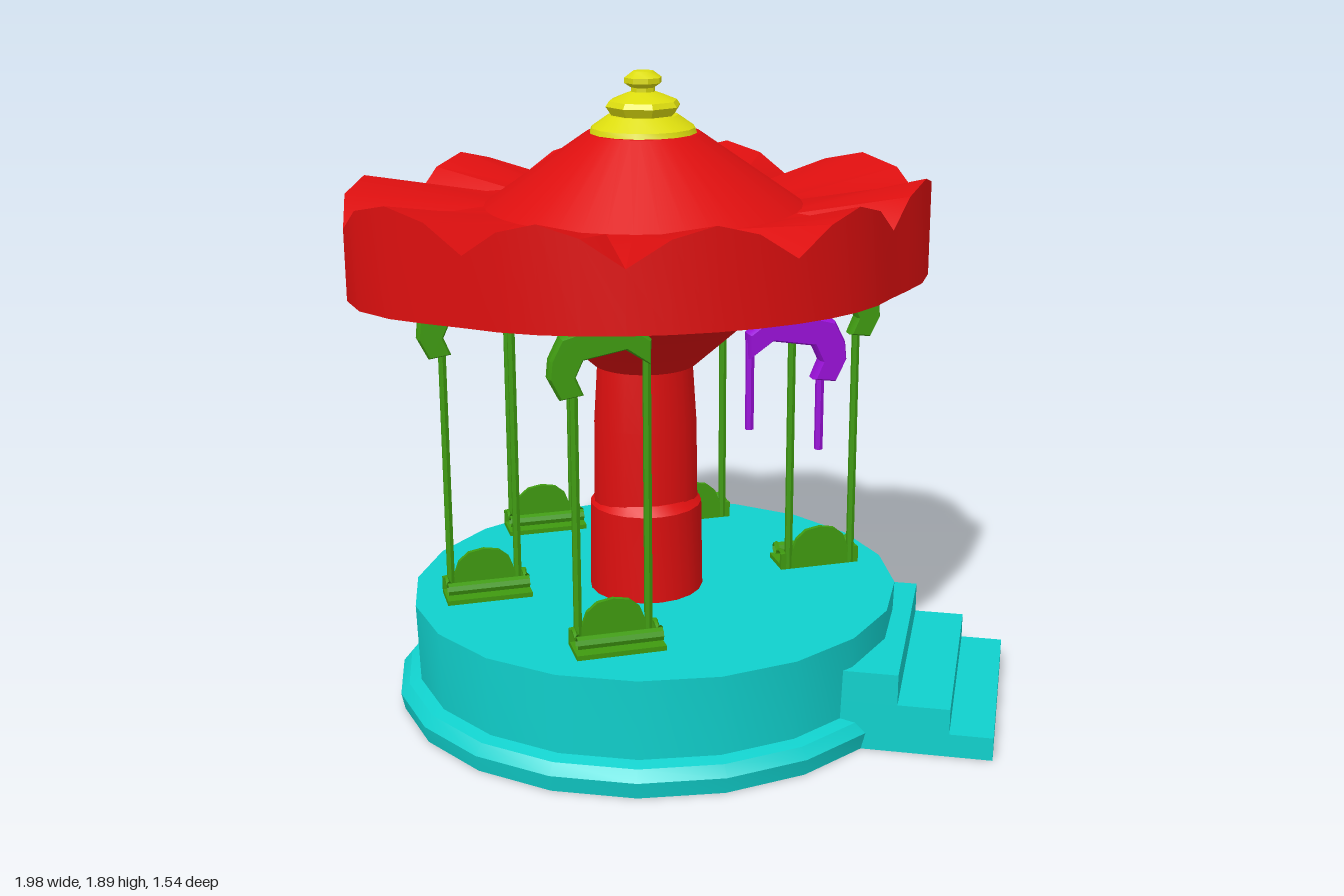
import * as THREE from 'three';
import { toCreasedNormals } from 'three/addons/utils/BufferGeometryUtils.js';

const paint = (color) => new THREE.MeshStandardMaterial({ color, side: THREE.DoubleSide });
const red = paint(0xdd0f0f), teal = paint(0x10d0cc), green = paint(0x3f9a10);
const purple = paint(0x9a10d8), yellow = paint(0xdcdc0e);

function part(parent, name, geometry, material, x = 0, y = 0, z = 0) {
  const mesh = new THREE.Mesh(toCreasedNormals(geometry, 0.5), material);
  mesh.name = name;
  mesh.position.set(x, y, z);
  parent.add(mesh);
  return mesh;
}

const points = (list) => list.map(([a, b]) => new THREE.Vector2(a, b));
const lathe = (list, sides) => new THREE.LatheGeometry(points(list), sides);

// Canopy: a lathe whose rim is widened towards the sides and cut into ten scallops
function canopyGeometry() {
  const RIM = 0.74;
  const geo = lathe([
    [0.12, 1.03], [0.155, 1.035], [0.3, 1.165], [0.45, 1.25], [RIM, 1.28],
    [RIM, 1.48], [0.46, 1.51], [0.165, 1.715], [0, 1.715],
  ], 40);
  const pos = geo.attributes.position;
  for (let i = 0; i < pos.count; i++) {
    const x = pos.getX(i), z = pos.getZ(i);
    if (Math.hypot(x, z) < RIM - 0.01) continue;
    const a = Math.atan2(z, x);
    const off = Math.asin(Math.min(1, Math.abs(Math.sin(a))));
    const r = RIM + 0.12 * (1 - THREE.MathUtils.smoothstep(off, 0.05, 0.65));
    const y = pos.getY(i) > 1.4
      ? 1.48 + 0.105 * Math.abs(Math.sin(5 * a))
      : 1.275 + 0.035 * Math.sin(a) ** 2;
    pos.setXYZ(i, r * Math.cos(a), y, r * Math.sin(a));
  }
  return geo;
}

// Hooked arm that carries a swing; +x is the outer end
function bracketGeometry() {
  const outline = points([
    [-0.107, 1.18], [-0.04, 1.225], [0.075, 1.205], [0.096, 1.16], [0.075, 1.11],
    [0.14, 1.1], [0.17, 1.16], [0.165, 1.21], [0.135, 1.27], [0.08, 1.285],
    [-0.06, 1.285], [-0.11, 1.25],
  ]);
  const geo = new THREE.ExtrudeGeometry(new THREE.Shape(outline), {
    depth: 0.03, bevelEnabled: true, bevelSegments: 1, bevelSize: 0.006, bevelThickness: 0.012, bevelOffset: -0.006,
  });
  return geo.translate(0, 0, -0.015);
}

function rope(parent, x, bottom, top, material) {
  part(parent, 'rope', new THREE.CylinderGeometry(0.012, 0.012, top - bottom, 6), material, x, (top + bottom) / 2, 0);
}

// Seat facing +z, hung from ropes at z = 0
function addSeat(parent) {
  const seat = new THREE.Group();
  seat.name = 'seat';
  parent.add(seat);
  const back = new THREE.Shape(points([
    [-0.125, 0], [0.125, 0], [0.125, 0.05], [0.09, 0.055], [0.075, 0.095], [0.045, 0.12],
    [0, 0.128], [-0.045, 0.12], [-0.075, 0.095], [-0.09, 0.055], [-0.125, 0.05],
  ]));
  part(seat, 'backrest', new THREE.ExtrudeGeometry(back, { depth: 0.014, bevelEnabled: false }), green, 0, 0.378, -0.007);
  part(seat, 'seatBoard', new THREE.BoxGeometry(0.25, 0.014, 0.105), green, 0, 0.385, 0.05);
  const bar = new THREE.CylinderGeometry(0.019, 0.019, 0.24, 8, 1, true).rotateZ(Math.PI / 2);
  part(seat, 'lapBar', bar, green, 0, 0.417, 0.075);
  for (const side of [-1, 1]) {
    const curve = new THREE.CatmullRomCurve3([
      new THREE.Vector3(0, 0.425, 0), new THREE.Vector3(0, 0.428, 0.03),
      new THREE.Vector3(0, 0.418, 0.05), new THREE.Vector3(0, 0.436, 0.075),
    ]);
    part(seat, 'armrest', new THREE.TubeGeometry(curve, 6, 0.007, 5), green, side * 0.115);
  }
}

export function createModel() {
  const model = new THREE.Group();
  model.name = 'swingCarousel';

  // Round platform with a flared foot
  const platform = part(model, 'platform', lathe([
    [0, 0], [0.75, 0], [0.76, 0.05], [0.735, 0.08], [0.7, 0.09], [0.707, 0.33], [0, 0.33],
  ], 20), teal, -0.11, 0, -0.015);
  platform.scale.x = 1.045;

  // Three steps, stacked as boxes reaching into the platform
  const stairs = new THREE.Group();
  stairs.name = 'stairs';
  stairs.position.set(-0.11, 0, -0.015);
  stairs.rotation.y = -THREE.MathUtils.degToRad(27.2);
  model.add(stairs);
  let floor = 0;
  for (const [reach, top] of [[1.055, 0.07], [0.93, 0.147], [0.78, 0.24]]) {
    const inner = 0.58;
    part(stairs, 'step', new THREE.BoxGeometry(reach - inner, top - floor, 0.68), teal,
      (reach + inner) / 2, (top + floor) / 2, 0);
    floor = top;
  }

  // Column, canopy and finial
  const tower = new THREE.Group();
  tower.name = 'tower';
  tower.position.set(-0.14, 0, -0.01);
  model.add(tower);
  part(tower, 'columnBase', lathe([[0.172, 0.32], [0.168, 0.6], [0.14, 0.625], [0, 0.625]], 20), red);
  const column = part(tower, 'column', lathe([[0.158, 0.6], [0.155, 0.85], [0.143, 1.04]], 20), red);
  column.scale.z = 0.87;
  part(tower, 'canopy', canopyGeometry(), red);
  part(tower, 'finialBase', lathe([
    [0, 1.712], [0.155, 1.715], [0.15, 1.73], [0.1, 1.765], [0, 1.765],
  ], 16), yellow);
  part(tower, 'finialKnob', lathe([
    [0.09, 1.76], [0.11, 1.79], [0.1, 1.805], [0.058, 1.822], [0.035, 1.83],
    [0.035, 1.842], [0.055, 1.855], [0.055, 1.87], [0.03, 1.888], [0, 1.888],
  ], 8), yellow);

  // Swings: position, outward side, facing and height offset; the last one has lost its seat
  const swings = [
    { x: -0.645, z: 0.02, out: -1, face: 1 },
    { x: -0.37, z: 0.515, out: -1, face: 1, lift: 0.014 },
    { x: -0.37, z: -0.48, out: -1, face: 1 },
    { x: 0.11, z: -0.365, out: 1, face: -1 },
    { x: 0.375, z: 0.12, out: 1, face: -1 },
    { x: 0.11, z: 0.538, out: 1, face: -1, broken: true },
  ];
  for (const { x, z, out, face, lift = 0, broken } of swings) {
    const swing = new THREE.Group();
    swing.name = broken ? 'brokenSwing' : 'swing';
    swing.position.set(x, 0, z);
    swing.rotation.y = face > 0 ? 0 : Math.PI;
    model.add(swing);
    const material = broken ? purple : green;
    const bracket = part(swing, 'bracket', bracketGeometry(), material);
    bracket.rotation.y = out * face > 0 ? 0 : Math.PI;
    rope(swing, out * face * 0.1, broken ? 0.905 : 0.38 + lift, 1.14, material);
    rope(swing, -out * face * 0.1, broken ? 0.98 : 0.38 + lift, 1.23, material);
    if (!broken) {
      addSeat(swing);
      swing.children[swing.children.length - 1].position.y = lift;
    }
  }
  return model;
}
